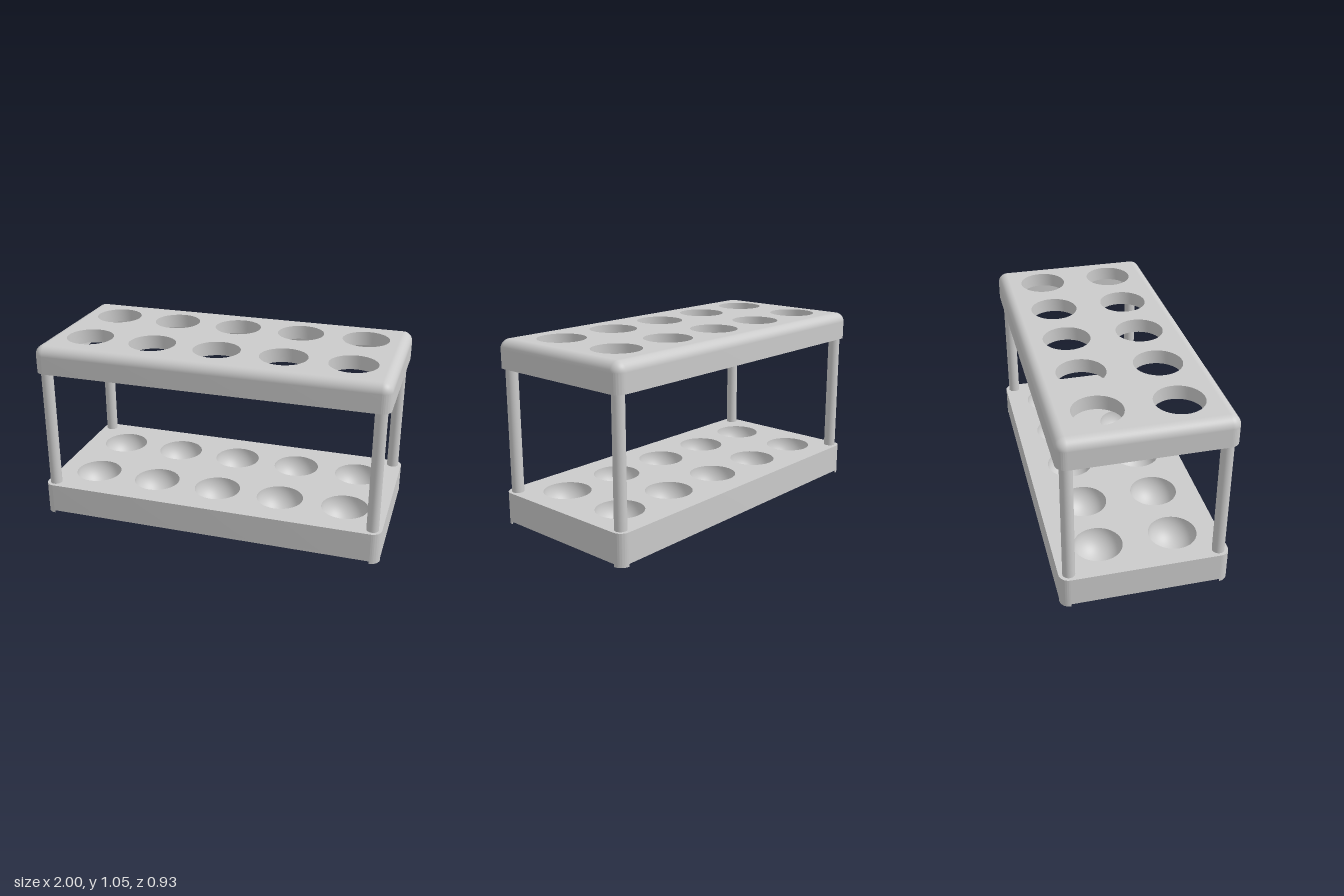
import * as THREE from 'three';
import { toCreasedNormals } from 'three/addons/utils/BufferGeometryUtils.js';

const HX = 1, HZ = 0.465, R = 0.055;       // half length, half depth, corner radius
const HOLE_R = 0.134, HOLE_X = [-0.76, -0.38, 0, 0.38, 0.76], HOLE_Z = [-0.21, 0.21];
const CORNERS = [[1, -1], [-1, -1], [-1, 1], [1, 1]];

// Rounded rectangle outline, inset from the outer footprint
function outline(inset, r, Path = THREE.Shape) {
  const x = HX - inset - r, z = HZ - inset - r, p = new Path();
  if (r === 0) {
    p.moveTo(-x, -z).lineTo(x, -z).lineTo(x, z).lineTo(-x, z).closePath();
    return p;
  }
  p.absarc(x, z, r, 0, Math.PI / 2);
  p.absarc(-x, z, r, Math.PI / 2, Math.PI);
  p.absarc(-x, -z, r, Math.PI, Math.PI * 1.5);
  p.absarc(x, -z, r, Math.PI * 1.5, Math.PI * 2);
  p.closePath();
  return p;
}

// Cut the two rows of round holes
function withHoles(shape) {
  for (const x of HOLE_X) for (const z of HOLE_Z) {
    shape.holes.push(new THREE.Path().absarc(x, z, HOLE_R, 0, Math.PI * 2, true));
  }
  return shape;
}

// Horizontal slab between two heights
function slab(shape, y0, y1) {
  const g = new THREE.ExtrudeGeometry(shape, { depth: y1 - y0, bevelEnabled: false, curveSegments: 24 });
  g.rotateX(-Math.PI / 2).translate(0, y0, 0);
  return toCreasedNormals(g, 0.5);
}

// Quarter-round edge running around the top of the rack
function roundedEdge(y) {
  const pos = [], nor = [], idx = [], N = 12, M = 12, ring = 4 * (N + 1);
  for (let j = 0; j <= M; j++) {
    const phi = (j / M) * Math.PI / 2, c = Math.cos(phi), s = Math.sin(phi);
    for (let k = 0; k < 4; k++) for (let i = 0; i <= N; i++) {
      const t = (k + i / N) * Math.PI / 2;
      const sx = k === 0 || k === 3 ? 1 : -1, sz = k < 2 ? 1 : -1;
      const nx = c * Math.cos(t), nz = c * Math.sin(t);
      pos.push(sx * (HX - R) + R * nx, y + R * s, sz * (HZ - R) + R * nz);
      nor.push(nx, s, nz);
    }
  }
  for (let j = 0; j < M; j++) for (let i = 0; i < ring; i++) {
    const a = j * ring + i, b = j * ring + (i + 1) % ring;
    idx.push(a, a + ring, b, b, a + ring, b + ring);
  }
  const g = new THREE.BufferGeometry();
  g.setAttribute('position', new THREE.Float32BufferAttribute(pos, 3));
  g.setAttribute('normal', new THREE.Float32BufferAttribute(nor, 3));
  g.setIndex(idx);
  return g;
}

export function createModel() {
  const model = new THREE.Group();
  model.name = 'tubeRack';
  const grey = new THREE.MeshStandardMaterial({ color: 0xcccccc });
  const greyOpen = new THREE.MeshStandardMaterial({ color: 0xcccccc, side: THREE.DoubleSide });
  const add = (parent, name, geometry, material = grey) => {
    const mesh = new THREE.Mesh(geometry, material);
    mesh.name = name;
    parent.add(mesh);
    return mesh;
  };

  // Base block with round-bottomed seats
  const base = new THREE.Group();
  base.name = 'base';
  model.add(base);
  add(base, 'baseFloor', slab(outline(0, R), 0.015, 0.03));
  add(base, 'baseBody', slab(withHoles(outline(0, R)), 0.03, 0.185));
  const bowl = new THREE.SphereGeometry(HOLE_R, 48, 16, 0, Math.PI * 2, Math.PI / 2, Math.PI / 2);
  for (const x of HOLE_X) for (const z of HOLE_Z) {
    add(base, 'tubeSeat', bowl, greyOpen).position.set(x, 0.185, z);
  }

  // Top tray: hollow underneath, with a rounded upper edge
  const tray = new THREE.Group();
  tray.name = 'topTray';
  model.add(tray);
  const rim = outline(0, R);
  rim.holes.push(outline(0.08, 0.05, THREE.Path));
  add(tray, 'trayRim', slab(rim, 0.89, 1.05 - R));
  add(tray, 'trayEdge', roundedEdge(1.05 - R));
  add(tray, 'trayDeck', slab(withHoles(outline(R, 0)), 0.97, 1.05));

  // Posts and quarter-round feet at the corners
  const post = new THREE.CylinderGeometry(0.034, 0.034, 0.725, 32);
  const sector = new THREE.Shape();
  sector.moveTo(0, 0);
  sector.absarc(0, 0, R, 0, Math.PI / 2);
  sector.closePath();
  const foot = slab(sector, 0, 0.016);
  CORNERS.forEach(([sx, sz], k) => {
    add(model, 'post', post).position.set(sx * 0.948, 0.5375, sz * 0.41);
    const f = add(model, 'foot', foot);
    f.position.set(sx * (HX - R), 0, sz * (HZ - R));
    f.rotation.y = k * Math.PI / 2;
  });

  return model;
}
